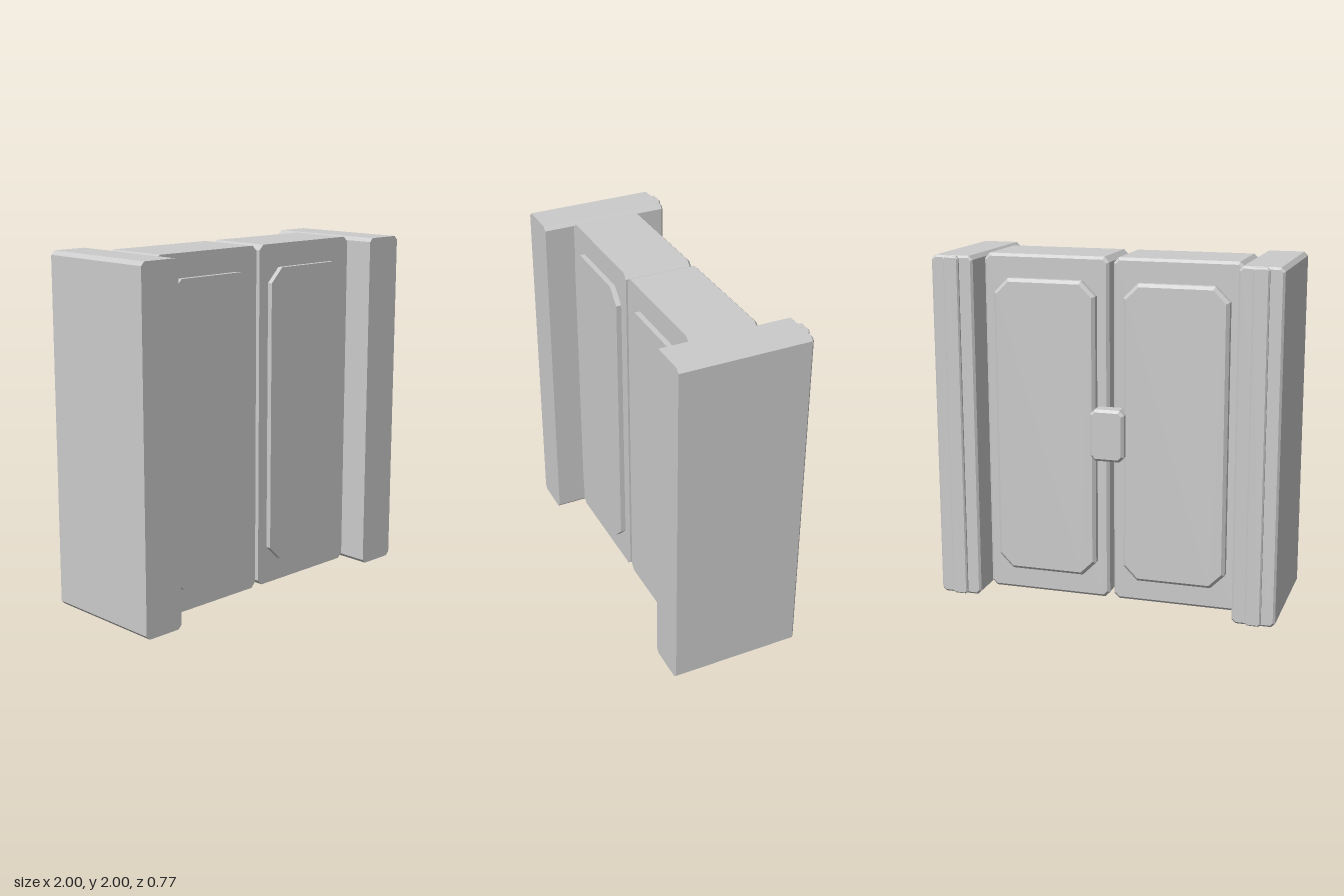
import * as THREE from 'three';

const material = new THREE.MeshStandardMaterial({ color: 0xcccccc, flatShading: true });

// Rectangle with cut corners, anticlockwise seen from +z
function octagon(x0, x1, y0, y1, c) {
  return [
    [x0 + c, y0], [x1 - c, y0], [x1, y0 + c], [x1, y1 - c],
    [x1 - c, y1], [x0 + c, y1], [x0, y1 - c], [x0, y0 + c],
  ];
}

// Cut-corner slab from z0 (back) to z1 (front), with an optional bevel round the back face
function slab(name, [x0, x1], [y0, y1], [z0, z1], cut, bevel = 0) {
  const rings = [[z1, 0], [z0 + bevel, 0]];
  if (bevel) rings.push([z0, bevel]);
  const loops = rings.map(([z, b]) =>
    octagon(x0 + b, x1 - b, y0 + b, y1 - b, Math.max(cut - 0.586 * b, 0.002))
      .map(([x, y]) => [x, y, z]));
  const points = [];
  const tri = (a, b, c) => points.push(...a, ...b, ...c);
  const n = 8;
  for (let r = 0; r + 1 < loops.length; r++) {
    const front = loops[r], back = loops[r + 1];
    for (let i = 0; i < n; i++) {
      const j = (i + 1) % n;
      tri(front[i], back[i], back[j]);
      tri(front[i], back[j], front[j]);
    }
  }
  const first = loops[0], last = loops[loops.length - 1];
  for (let i = 1; i < n - 1; i++) {
    tri(first[0], first[i], first[i + 1]);
    tri(last[0], last[i + 1], last[i]);
  }
  const geometry = new THREE.BufferGeometry();
  geometry.setAttribute('position', new THREE.Float32BufferAttribute(points, 3));
  geometry.computeVertexNormals();
  const mesh = new THREE.Mesh(geometry, material);
  mesh.name = name;
  return mesh;
}

export function createModel() {
  const model = new THREE.Group();
  model.name = 'doubleDoor';

  for (const [side, s] of [['left', 1], ['right', -1]]) {
    const span = (a, b) => (s > 0 ? [a, b] : [-b, -a]);

    // Side post with a raised strip down its back
    const post = new THREE.Group();
    post.name = side + 'Post';
    post.add(
      slab('postBody', span(0.753, 1), [0, 2], [-0.366, 0.385], 0.022, 0.012),
      slab('postStrip', span(0.832, 0.922), [0.003, 1.997], [-0.385, -0.35], 0.012, 0.008),
    );

    // Door leaf with a raised panel on each face
    const door = new THREE.Group();
    door.name = side + 'Door';
    door.add(
      slab('doorLeaf', span(0.0125, 0.753), [0, 2], [-0.19, 0.208], 0.03, 0.016),
      slab('frontPanel', span(0.082, 0.682), [0.14, 1.866], [0.19, 0.238], 0.083),
      slab('backPanel', span(0.082, 0.682), [0.14, 1.866], [-0.242, -0.17], 0.083, 0.018),
    );
    model.add(post, door);
  }

  // Lock block bridging both leaves at the back
  model.add(slab('lock', [-0.1, 0.1], [0.853, 1.153], [-0.285, -0.195], 0.028, 0.015));
  return model;
}
